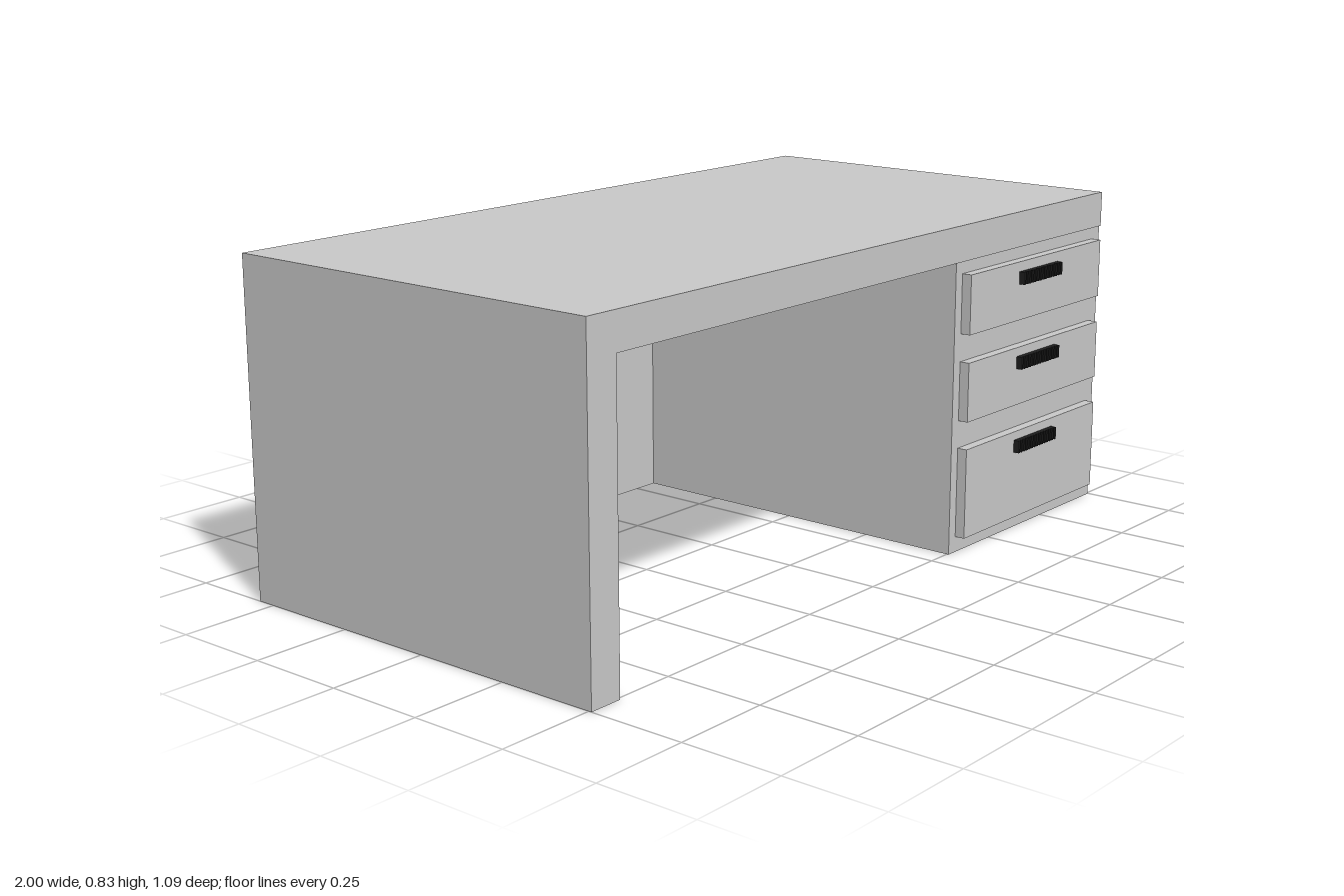
import * as THREE from 'three';

const grey = new THREE.MeshStandardMaterial({ color: 0xc8c8c8 });
grey.name = 'light grey';
const black = new THREE.MeshStandardMaterial({ color: 0x1e1e1e });
black.name = 'black';

// Box given by its lower and upper corners
function box(name, material, [x0, y0, z0], [x1, y1, z1]) {
  const mesh = new THREE.Mesh(new THREE.BoxGeometry(x1 - x0, y1 - y0, z1 - z0), material);
  mesh.position.set((x0 + x1) / 2, (y0 + y1) / 2, (z0 + z1) / 2);
  mesh.name = name;
  return mesh;
}

export function createModel() {
  const desk = new THREE.Group();
  desk.name = 'desk';
  const back = -0.547, front = 0.508, under = 0.74, inner = -0.472;

  // Carcass: top, back and the single side panel
  desk.add(
    box('deskTop', grey, [-1, under, back], [1, 0.83, front]),
    box('backPanel', grey, [-1, 0, back], [1, under, inner]),
    box('sidePanel', grey, [-1, 0, inner], [-0.912, under, front]),
    // Drawer pedestal, set in slightly from the top
    box('pedestal', grey, [0.317, 0, inner], [0.997, under, 0.505])
  );

  // Drawers: bottom, top and handle centre heights
  const drawers = [[0.56, 0.71, 0.669], [0.34, 0.49, 0.451], [0.04, 0.27, 0.232]];
  for (const [y0, y1, grip] of drawers) {
    const drawer = new THREE.Group();
    drawer.name = 'drawer';
    drawer.add(
      box('drawerFront', grey, [0.345, y0, 0.505], [0.961, y1, 0.531]),
      box('handle', black, [0.565, grip - 0.016, 0.531], [0.745, grip + 0.016, 0.543])
    );
    // Fine ribs across the handle
    const ribs = 15, pitch = 0.18 / (ribs - 0.5);
    for (let i = 0; i < ribs; i++) {
      const x = 0.565 + i * pitch;
      drawer.add(box('handleRib', black, [x, grip - 0.016, 0.543], [x + pitch / 2, grip + 0.016, 0.547]));
    }
    desk.add(drawer);
  }
  return desk;
}
